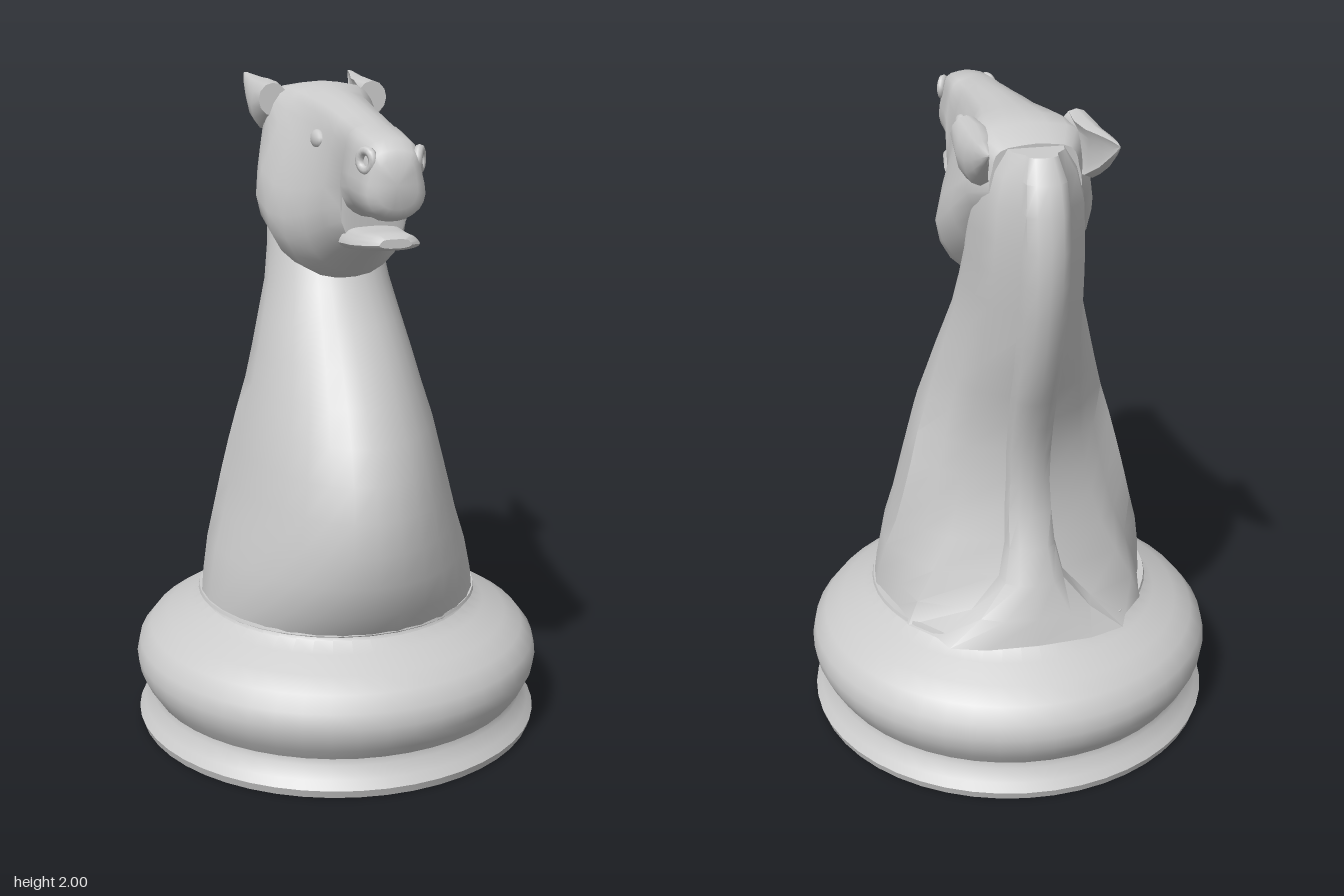
import * as THREE from 'three';
import { toCreasedNormals } from 'three/addons/utils/BufferGeometryUtils.js';

const material = new THREE.MeshStandardMaterial({ color: 0xcccccc });

function part(name, geometry, parent) {
  const mesh = new THREE.Mesh(geometry, material);
  mesh.name = name;
  parent.add(mesh);
  return mesh;
}

// Full ring from a half outline: first and last points lie on the mirror plane
function mirrorRing(half) {
  const other = half.slice(1, -1).reverse().map((p) => new THREE.Vector3(-p.x, p.y, p.z));
  return [...half, ...other];
}

// Skin closed rings of equal length and cap both ends
function loft(rings, crease = 0.75) {
  const n = rings[0].length;
  const points = rings.flat();
  const index = [];
  for (let i = 0; i < rings.length - 1; i++) {
    for (let j = 0; j < n; j++) {
      const a = i * n + j, b = i * n + (j + 1) % n;
      index.push(a, b, b + n, a, b + n, a + n);
    }
  }
  [0, rings.length - 1].forEach((r) => {
    const centre = points.length;
    points.push(rings[r].reduce((s, p) => s.add(p), new THREE.Vector3()).divideScalar(n));
    for (let j = 0; j < n; j++) {
      const a = r * n + j, b = r * n + (j + 1) % n;
      if (r === 0) index.push(centre, b, a);
      else index.push(centre, a, b);
    }
  });
  const geometry = new THREE.BufferGeometry().setFromPoints(points);
  geometry.setIndex(index);
  return toCreasedNormals(geometry, crease);
}

// Horizontal neck section: round chest, wide shoulder corner, hollow flank, raised mane
function neckRing([y, front, corner, back, width, flank, mane]) {
  const half = [];
  for (let k = 0; k <= 8; k++) {
    const t = (k / 8) * Math.PI / 2;
    half.push(new THREE.Vector3(width * Math.sin(t), y, corner + (front - corner) * Math.cos(t)));
  }
  const at = (x, f) => half.push(new THREE.Vector3(x, y, corner + (back - corner) * f));
  at(flank + (width - flank) * 0.45, 0.28);
  at(flank, 0.55);
  at(mane * 1.1, 0.75);
  at(mane, 0.9);
  at(mane * 0.6, 0.98);
  at(0, 1);
  return mirrorRing(half);
}

// Upright head section: narrow brow, wide cheek, rounded jaw
function headRing([z, top, bottom, brow, cheek]) {
  const h = top - bottom;
  const outline = new THREE.SplineCurve([
    [0, top], [brow * 0.7, top - 0.04 * h], [brow, top - 0.15 * h],
    [(brow + cheek) / 2, top - 0.35 * h], [cheek, top - 0.65 * h],
    [cheek * 0.8, bottom + 0.13 * h], [cheek * 0.4, bottom + 0.02 * h], [0, bottom],
  ].map(([x, y]) => new THREE.Vector2(x, y)));
  return mirrorRing(outline.getPoints(14).map((p) => new THREE.Vector3(Math.max(0, p.x), p.y, z)));
}

export function createModel() {
  const model = new THREE.Group();
  model.name = 'chessKnight';

  // Turned base with a thin foot, a waist and a fat round moulding
  const profile = [
    [0, 0.01], [0.61, 0.01], [0.63, 0], [0.638, 0.025], [0.62, 0.05], [0.595, 0.085],
    [0.592, 0.105], [0.615, 0.14], [0.634, 0.18], [0.64, 0.22], [0.63, 0.265],
    [0.595, 0.31], [0.54, 0.345], [0.47, 0.38], [0.425, 0.405], [0.42, 0.418],
    [0.44, 0.425], [0.437, 0.435], [0, 0.436],
  ].map(([x, y]) => new THREE.Vector2(x, y));
  const base = part('base', toCreasedNormals(new THREE.LatheGeometry(profile, 48), 0.7), model);
  base.position.z = -0.015;

  // Neck: y, front z, corner z, back z, half width, flank half width, mane half width
  part('neckAndMane', loft([
    [0.42, 0.42, -0.02, -0.46, 0.435, 0.37, 0.27],
    [0.50, 0.47, -0.04, -0.44, 0.425, 0.34, 0.17],
    [0.60, 0.50, -0.07, -0.41, 0.405, 0.29, 0.09],
    [0.70, 0.51, -0.10, -0.37, 0.375, 0.24, 0.07],
    [0.80, 0.50, -0.11, -0.335, 0.35, 0.21, 0.065],
    [0.90, 0.47, -0.11, -0.33, 0.325, 0.19, 0.06],
    [1.00, 0.42, -0.10, -0.34, 0.30, 0.175, 0.06],
    [1.10, 0.35, -0.10, -0.37, 0.27, 0.165, 0.06],
    [1.20, 0.27, -0.11, -0.41, 0.245, 0.155, 0.06],
    [1.30, 0.18, -0.13, -0.46, 0.22, 0.145, 0.06],
    [1.40, 0.09, -0.15, -0.49, 0.195, 0.14, 0.06],
    [1.50, 0.03, -0.18, -0.52, 0.18, 0.135, 0.06],
    [1.60, -0.02, -0.22, -0.535, 0.17, 0.13, 0.06],
    [1.70, -0.06, -0.25, -0.54, 0.165, 0.125, 0.06],
    [1.80, -0.10, -0.27, -0.525, 0.155, 0.12, 0.06],
    [1.88, -0.15, -0.28, -0.50, 0.135, 0.10, 0.055],
    [1.94, -0.22, -0.30, -0.45, 0.09, 0.07, 0.04],
  ].map(neckRing)), model);

  // Head: z, top y, bottom y, brow half width, cheek half width
  const head = new THREE.Group();
  head.name = 'head';
  model.add(head);
  part('skull', loft([
    [0.66, 1.86, 1.73, 0.045, 0.055],
    [0.645, 1.885, 1.705, 0.06, 0.08],
    [0.60, 1.91, 1.69, 0.07, 0.09],
    [0.50, 1.922, 1.69, 0.075, 0.095],
    [0.435, 1.93, 1.675, 0.08, 0.10],
    [0.425, 1.932, 1.585, 0.08, 0.10],
    [0.30, 1.95, 1.535, 0.085, 0.12],
    [0.20, 1.963, 1.48, 0.09, 0.15],
    [0.10, 1.975, 1.44, 0.10, 0.19],
    [0.00, 1.983, 1.44, 0.11, 0.215],
    [-0.10, 1.99, 1.49, 0.135, 0.228],
    [-0.19, 1.993, 1.59, 0.155, 0.205],
    [-0.27, 1.985, 1.70, 0.15, 0.175],
    [-0.35, 1.95, 1.76, 0.11, 0.13],
  ].map(headRing), 0.9), head);

  // Lower jaw, leaving the mouth open above it
  part('lowerJaw', loft([
    [0.645, 1.65, 1.625, 0.035, 0.045],
    [0.62, 1.66, 1.615, 0.055, 0.075],
    [0.52, 1.652, 1.597, 0.065, 0.09],
    [0.40, 1.65, 1.578, 0.075, 0.095],
  ].map(headRing)), head);

  for (const side of [1, -1]) {
    const label = side > 0 ? 'left' : 'right';

    // Pointed ear swept backwards, with a hollow on its inner face
    const rings = [
      [-0.18, 0.155, 1.94, 0.045, 0.05], [-0.28, 0.15, 1.915, 0.055, 0.08],
      [-0.36, 0.155, 1.92, 0.045, 0.073], [-0.44, 0.165, 1.945, 0.028, 0.05],
      [-0.51, 0.17, 1.972, 0.014, 0.024], [-0.555, 0.172, 1.99, 0.002, 0.003],
    ].map(([z, x, y, rx, ry], i) => Array.from({ length: 12 }, (_, k) => {
      const t = -side * k / 12 * Math.PI * 2;
      const across = Math.cos(t) * side;
      const hollow = i > 0 && across < -0.8 ? 0.3 : 1;
      return new THREE.Vector3(side * x + rx * Math.cos(t) * hollow, y + ry * Math.sin(t), z);
    }));
    if (side < 0) rings.forEach((r) => r.reverse());
    part(label + 'Ear', loft(rings, 0.9), head);

    // Nostril rim
    const nostril = part(label + 'Nostril', new THREE.TorusGeometry(0.026, 0.013, 8, 16), head);
    nostril.position.set(side * 0.072, 1.855, 0.612);
    nostril.rotation.y = side * 1.1;

    // Eye below the brow
    const eye = part(label + 'Eye', new THREE.SphereGeometry(0.04, 16, 10), head);
    eye.position.set(side * 0.098, 1.86, 0.17);
    eye.scale.set(0.5, 0.7, 1.3);
  }
  return model;
}
